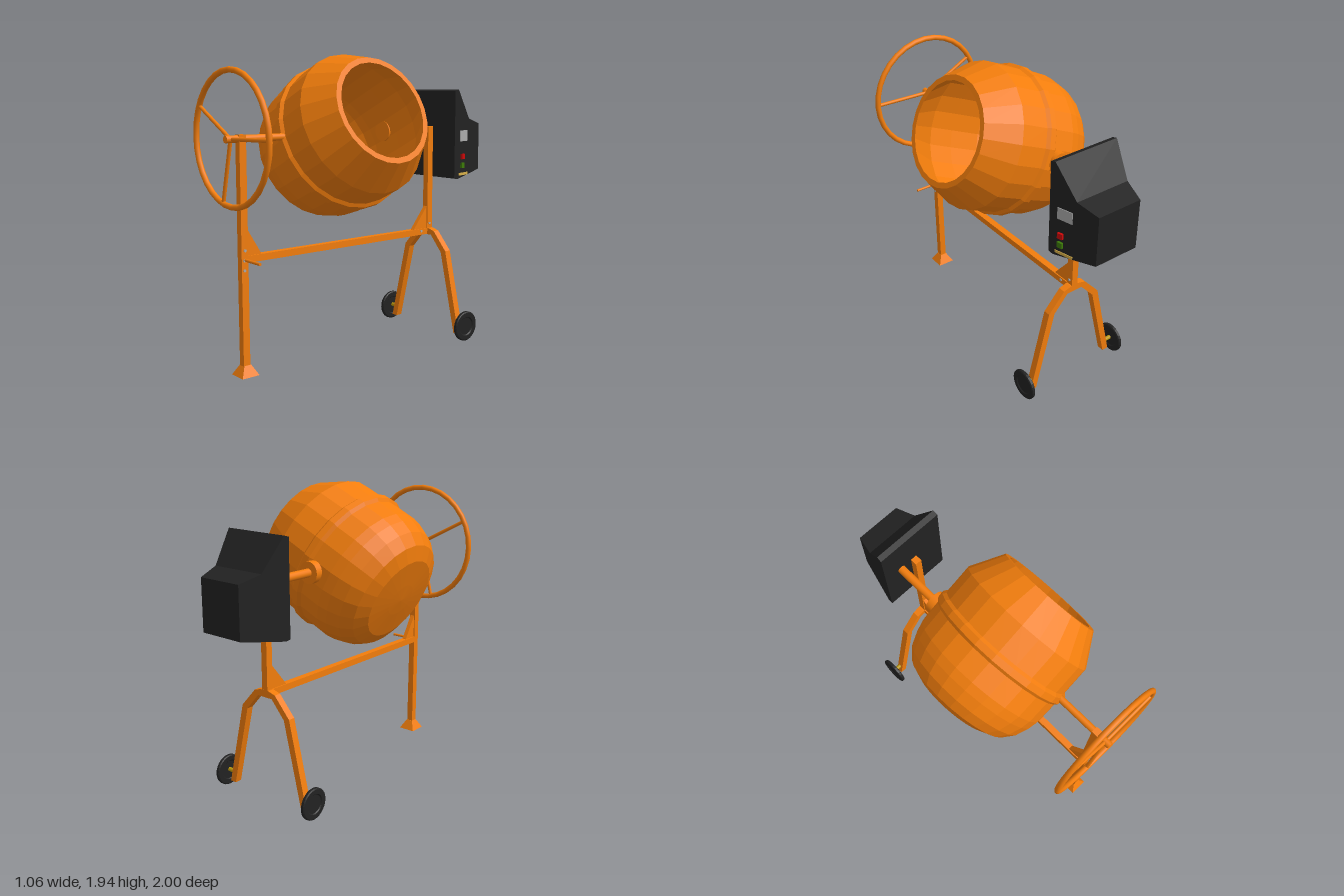
import * as THREE from 'three';

const paint = (color, opts = {}) => new THREE.MeshStandardMaterial({ color, ...opts });

export function createModel() {
  const model = new THREE.Group();
  const orange = paint(0xf27d0c);
  const orangeFlat = paint(0xf27d0c, { flatShading: true, side: THREE.DoubleSide });
  const black = paint(0x222222, { flatShading: true });
  const brass = paint(0xb8960c);
  const steel = paint(0xaaaaaa);

  const add = (name, geometry, material, x = 0, y = 0, z = 0, parent = model) => {
    const mesh = new THREE.Mesh(geometry, material);
    mesh.name = name;
    mesh.position.set(x, y, z);
    parent.add(mesh);
    return mesh;
  };
  const box = (name, w, h, d, x, y, z, material = orange) =>
    add(name, new THREE.BoxGeometry(w, h, d), material, x, y, z);
  // Round bar between two points
  const rod = (name, a, b, r, material = orange, sides = 16) => {
    const from = new THREE.Vector3(...a), to = new THREE.Vector3(...b);
    const dir = to.clone().sub(from);
    const mesh = add(name, new THREE.CylinderGeometry(r, r, dir.length(), sides), material);
    mesh.position.copy(from).add(to).multiplyScalar(0.5);
    mesh.quaternion.setFromUnitVectors(new THREE.Vector3(0, 1, 0), dir.normalize());
    return mesh;
  };
  const plate = (points, depth) => {
    const shape = new THREE.Shape(points.map(([x, y]) => new THREE.Vector2(x, y)));
    return new THREE.ExtrudeGeometry(shape, { depth, bevelEnabled: false }).translate(0, 0, -depth / 2);
  };

  // Drum: outer wall up to the mouth, then back down the inner wall
  const profile = [
    [0, -0.475], [0.11, -0.47], [0.28, -0.458], [0.37, -0.416], [0.425, -0.345], [0.455, -0.263],
    [0.468, -0.2], [0.47, -0.05], [0.488, -0.03], [0.488, 0.012], [0.469, 0.03], [0.467, 0.222],
    [0.347, 0.425], [0.312, 0.425], [0.432, 0.21], [0.44, 0.03], [0.44, -0.2], [0.425, -0.263],
    [0.35, -0.39], [0.27, -0.43], [0, -0.445],
  ].map(([r, t]) => new THREE.Vector2(r, t));
  add('drum', new THREE.LatheGeometry(profile, 24), orangeFlat, 0, 1.425, 0.125).rotation.z = -1.14;

  // Shafts and rear flange
  rod('frontShaft', [0, 1.44, 0.57], [0, 1.44, 1], 0.022);
  rod('rearShaft', [-0.1, 1.44, -0.68], [-0.1, 1.44, -0.3], 0.027);
  rod('shaftFlange', [-0.1, 1.44, -0.378], [-0.1, 1.44, -0.3], 0.07, orange, 24);

  // Tilting handwheel
  const wheelY = 1.44, wheelZ = 0.963;
  add('handwheelRim', new THREE.TorusGeometry(0.398, 0.018, 12, 32), orange, 0, wheelY, wheelZ);
  for (const degrees of [1.5, 152, 256]) {
    const a = THREE.MathUtils.degToRad(degrees);
    rod('handwheelSpoke', [0, wheelY, wheelZ],
      [0.395 * Math.cos(a), wheelY + 0.395 * Math.sin(a), wheelZ], 0.012, orange, 10);
  }

  // Frame posts and connecting beam
  box('frontPost', 0.044, 1.4, 0.046, 0, 0.765, 0.895);
  box('rearPost', 0.044, 0.75, 0.046, 0, 1.09, -0.647);
  box('crossBeam', 0.044, 0.042, 1.54, 0, 0.725, 0.123);

  // Flared foot under the front post
  const foot = new THREE.CylinderGeometry(0.024 * Math.SQRT2, 0.06 * Math.SQRT2, 0.065, 4).rotateY(Math.PI / 4);
  add('foot', foot, orangeFlat, 0, 0.043, 0.892);

  // Corner gussets, drawn in (-z, y) and turned into the beam plane
  const gussets = [
    [[-0.88, 0.92], [-0.88, 0.705], [-0.775, 0.705], [-0.775, 0.748]],
    [[0.63, 0.705], [0.63, 0.91], [0.5, 0.748], [0.5, 0.705]],
  ];
  for (const points of gussets)
    add('gusset', plate(points, 0.03), orange).rotation.y = Math.PI / 2;

  // Bolts and locking lever
  for (const [y, z] of [[0.78, 0.895], [0.72, 0.9], [0.66, 0.9], [0.78, -0.645], [0.73, -0.565]])
    rod('bolt', [0, y, z], [0.028, y, z], 0.009, steel, 8);
  rod('lockingLever', [0, 0.723, 0.893], [0.18, 0.723, 0.893], 0.009, orange, 10);

  // Bent rear legs in one piece
  const half = [[0.03, 0.747], [0.085, 0.732], [0.2, 0.605], [0.335, 0.04],
    [0.29, 0.04], [0.157, 0.59], [0.058, 0.702]];
  const legs = [...half, ...half.map(([x, y]) => [-x, y]).reverse()];
  add('rearLegs', plate(legs, 0.046), orange, 0, 0, -0.648);

  // Wheels: tyre with a shallow recess on both faces
  const tyre = [[0, -0.007], [0.06, -0.007], [0.066, -0.013], [0.095, -0.013], [0.102, -0.008],
    [0.102, 0.008], [0.095, 0.013], [0.066, 0.013], [0.06, 0.007], [0, 0.007]]
    .map(([r, t]) => new THREE.Vector2(r, t));
  for (const side of [-1, 1]) {
    const wheel = add('wheel', new THREE.LatheGeometry(tyre, 28),
      paint(0x222222, { flatShading: true, side: THREE.DoubleSide }), side * 0.373, 0.103, -0.652);
    wheel.rotation.z = Math.PI / 2;
    rod('axle', [side * 0.3, 0.105, -0.652], [side * 0.373, 0.105, -0.652], 0.014, brass);
  }

  // Motor housing: a box whose depth slices follow these sections
  const sections = [ // z, half width, bottom, top
    [-1, 0.153, 1.155, 1.48], [-0.857, 0.188, 1.13, 1.52],
    [-0.71, 0.225, 1.107, 1.72], [-0.675, 0.227, 1.112, 1.71],
  ];
  const housing = new THREE.BoxGeometry(1, 1, 1, 1, 1, 3);
  const p = housing.attributes.position;
  for (let i = 0; i < p.count; i++) {
    const [z, w, low, high] = sections[Math.round((p.getZ(i) + 0.5) * 3)];
    p.setXYZ(i, Math.sign(p.getX(i)) * w, p.getY(i) > 0 ? high : low, z);
  }
  housing.computeVertexNormals();
  add('motorHousing', housing, black);

  // Controls on the sloping left face of the housing
  const control = (name, color, y, z, height, length, thick) => {
    const x = 0.225 + (z + 0.71) * 0.25;
    box(name, thick, height, length, x, y, z, paint(color)).rotation.y = 0.245;
  };
  control('ratingPlate', 0xaaaaaa, 1.403, -0.785, 0.075, 0.103, 0.008);
  control('stopButton', 0xcc0808, 1.26, -0.763, 0.036, 0.036, 0.03);
  control('startButton', 0x3c7a08, 1.198, -0.763, 0.036, 0.036, 0.03);
  control('warningStrip', 0xd8b04a, 1.138, -0.785, 0.018, 0.123, 0.008);

  return model;
}
